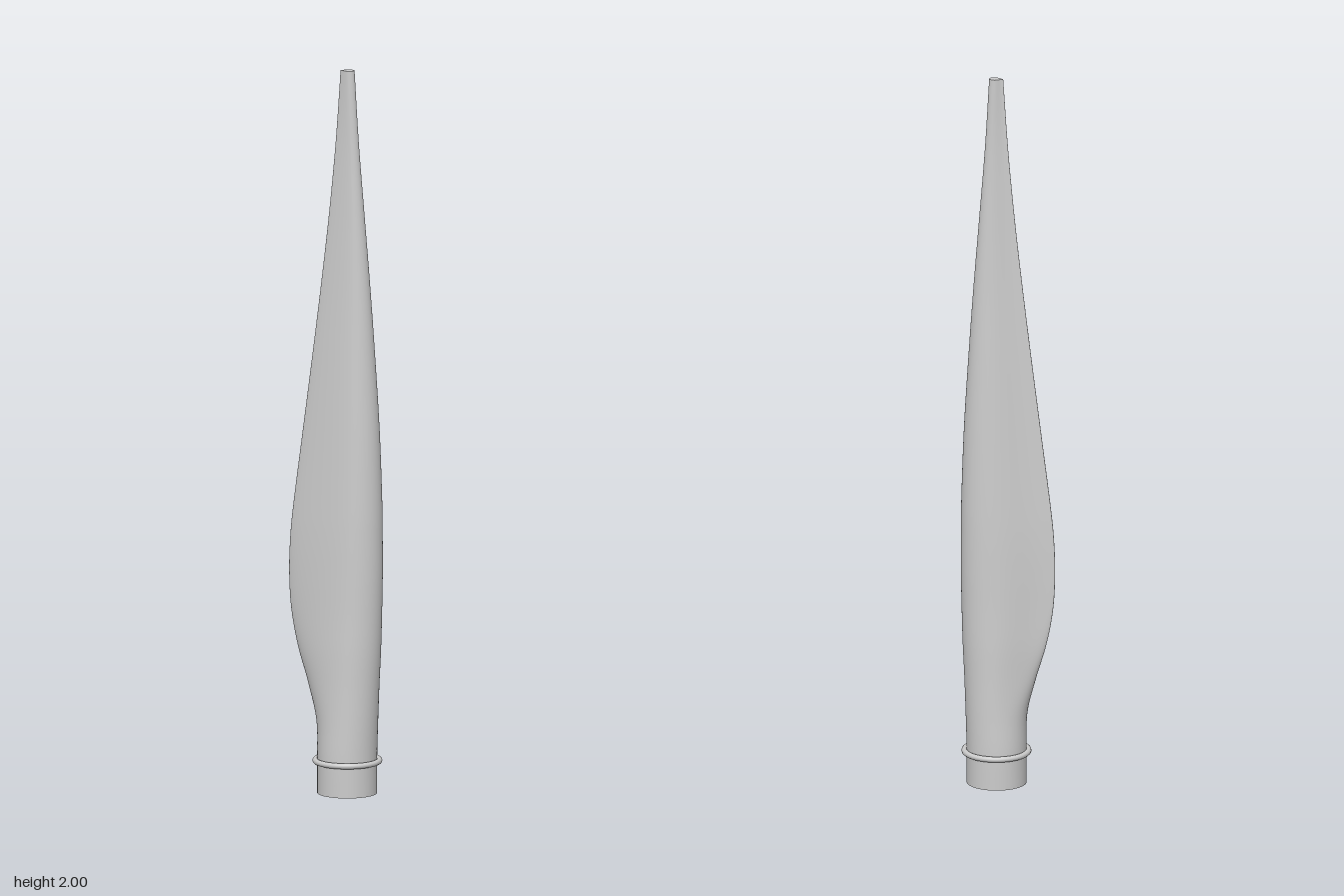
import * as THREE from 'three';

const material = new THREE.MeshStandardMaterial({ color: 0xcccccc });
const SIDES = 64, ROWS = 84;

// Stations up the blade: height, trailing x, leading x, half thickness, airfoil share (0 round, 1 airfoil)
const stations = [
  [0, -0.05, 0.113, 0.081, 0], [0.1, -0.05, 0.113, 0.081, 0], [0.2, -0.053, 0.116, 0.078, 0.12],
  [0.3, -0.078, 0.12, 0.075, 0.45], [0.4, -0.108, 0.125, 0.073, 0.75], [0.5, -0.127, 0.128, 0.07, 0.95],
  [0.6, -0.133, 0.13, 0.068, 1], [0.7, -0.13, 0.13, 0.066, 1], [0.8, -0.12, 0.129, 0.063, 1],
  [1.0, -0.094, 0.122, 0.055, 1], [1.2, -0.068, 0.11, 0.045, 1], [1.4, -0.043, 0.096, 0.034, 1],
  [1.6, -0.02, 0.08, 0.024, 1], [1.8, -0.001, 0.064, 0.016, 1], [2.0, 0.013, 0.052, 0.013, 1],
];
const spline = (pick) => new THREE.CatmullRomCurve3(
  stations.map((s) => new THREE.Vector3(...pick(s))), false, 'catmullrom', 0.5);
const outline = spline(([y, back, lead]) => [back, y, lead]);
const body = spline(([y, , , half, foil]) => [half, y, foil]);

// One cross-section: rounded nose, straight front face, hollowed back face
function section(u) {
  const { x: back, y, z: lead } = outline.getPoint(u);
  const { x: half, z: share } = body.getPoint(u);
  const foil = THREE.MathUtils.clamp(share, 0, 1);
  const middle = lead - half * (1 + 0.2 * foil);
  const points = [];
  for (let i = 0; i < SIDES; i++) {
    const a = (i / SIDES) * Math.PI * 2;
    const c = Math.cos(a), sn = Math.sin(a);
    if (c >= 0) {
      points.push([middle + c * (lead - middle), y, sn * half]);
      continue;
    }
    const s = -c;
    const taper = sn > 0 ? 1 - Math.pow(s, 1.4) : (1 + Math.cos(Math.PI * s)) / 2;
    const edge = 0.1 * s * Math.sqrt(Math.max(0, 1 - Math.pow(s, 8)));
    const z = THREE.MathUtils.lerp(Math.abs(sn), taper + edge, foil);
    points.push([middle - s * (middle - back), y, Math.sign(sn) * z * half]);
  }
  return points;
}

function loft() {
  const positions = [], index = [];
  const rows = Array.from({ length: ROWS + 1 }, (_, j) => section(j / ROWS));
  rows.forEach((row) => row.forEach((p) => positions.push(...p)));
  for (let j = 0; j < ROWS; j++) {
    for (let i = 0; i < SIDES; i++) {
      const n = (i + 1) % SIDES;
      const a = j * SIDES + i, b = j * SIDES + n;
      index.push(a, a + SIDES, b, b, a + SIDES, b + SIDES);
    }
  }
  // Flat end caps with their own corners
  for (const [row, up] of [[rows[0], false], [rows[ROWS], true]]) {
    const start = positions.length / 3;
    const xs = row.map((p) => p[0]);
    positions.push((Math.min(...xs) + Math.max(...xs)) / 2, row[0][1], 0);
    row.forEach((p) => positions.push(...p));
    for (let i = 0; i < SIDES; i++) {
      const cur = start + 1 + i, next = start + 1 + ((i + 1) % SIDES);
      if (up) index.push(start, next, cur);
      else index.push(start, cur, next);
    }
  }
  const geometry = new THREE.BufferGeometry();
  geometry.setAttribute('position', new THREE.Float32BufferAttribute(positions, 3));
  geometry.setIndex(index);
  geometry.computeVertexNormals();
  return geometry;
}

export function createModel() {
  const group = new THREE.Group();
  group.name = 'rotorBlade';

  const blade = new THREE.Mesh(loft(), material);
  blade.name = 'blade';

  // Thin flange around the round root
  const collar = new THREE.Mesh(new THREE.TorusGeometry(0.087, 0.008, 12, 64), material);
  collar.name = 'rootCollar';
  collar.rotation.x = Math.PI / 2;
  collar.position.set(0.032, 0.09, 0);

  group.add(blade, collar);
  return group;
}
